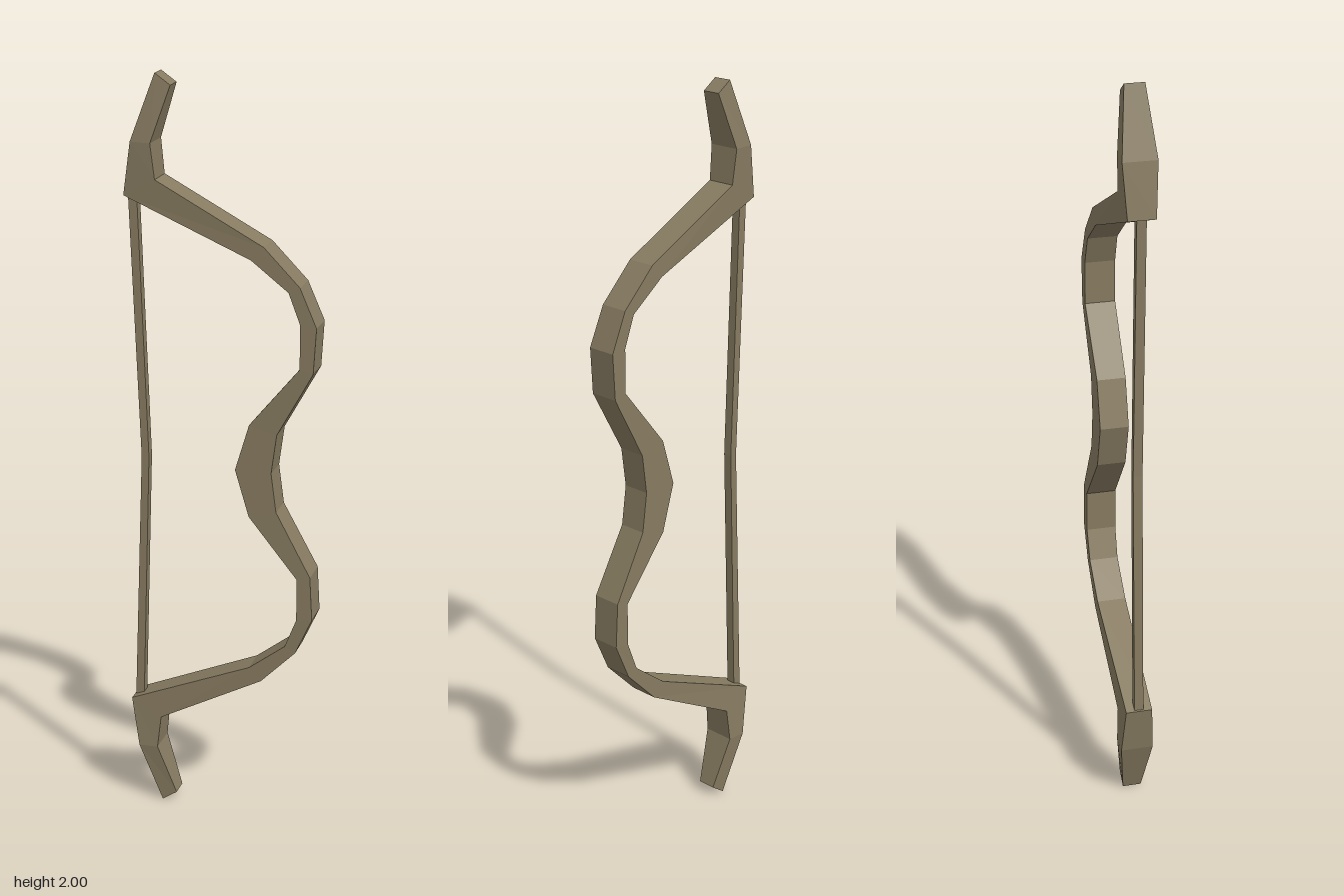
import * as THREE from 'three';

// Sweeps a four-cornered section along rows of [xBack, yBack, xFront, yFront, halfDepthBack, halfDepthFront]
function sweep(rows) {
  const rings = rows.map(([xb, yb, xf, yf, db, df]) => [
    [xb, yb, db], [xf, yf, df], [xf, yf, -df], [xb, yb, -db],
  ]);
  const pos = [];
  const quad = (a, b, c, d) => pos.push(...a, ...b, ...c, ...a, ...c, ...d);
  for (let i = 0; i < rings.length - 1; i++) {
    const p = rings[i], q = rings[i + 1];
    for (let k = 0; k < 4; k++) {
      const n = (k + 1) % 4;
      quad(p[k], q[k], q[n], p[n]);
    }
  }
  const [a, b, c, d] = rings[0];
  quad(a, b, c, d);
  const [e, f, g, h] = rings[rings.length - 1];
  quad(h, g, f, e);
  const geo = new THREE.BufferGeometry();
  geo.setAttribute('position', new THREE.Float32BufferAttribute(pos, 3));
  geo.computeVertexNormals();
  return geo;
}

// Adds the lower half by mirroring the upper rows about y = 1 (last row is the middle)
function mirrorRows(upper) {
  const lower = upper.slice(0, -1).reverse()
    .map(([xb, yb, xf, yf, db, df]) => [xb, 2 - yb, xf, 2 - yf, db, df]);
  return [...upper, ...lower];
}

export function createModel() {
  const group = new THREE.Group();
  group.name = 'bow';
  const wood = new THREE.MeshStandardMaterial({ color: 0x877b61, flatShading: true });
  wood.name = 'weathered wood';

  // Bow stave: tip, nock, elbow, curved limb, grip
  const stave = new THREE.Mesh(sweep(mirrorRows([
    [-0.17, 2.0, -0.13, 1.972, 0.025, 0.025],
    [-0.23, 1.832, -0.178, 1.83, 0.043, 0.043],
    [-0.252, 1.695, -0.168, 1.74, 0.035, 0.039],
    [0.08, 1.555, 0.113, 1.59, 0.039, 0.039],
    [0.177, 1.48, 0.206, 1.495, 0.039, 0.039],
    [0.208, 1.4, 0.25, 1.395, 0.04, 0.04],
    [0.208, 1.285, 0.243, 1.275, 0.04, 0.04],
    [0.077, 1.125, 0.15, 1.105, 0.038, 0.038],
    [0.04, 1.0, 0.136, 1.0, 0.038, 0.038],
  ])), wood);
  stave.name = 'stave';
  group.add(stave);

  // Bowstring, drawn slightly inward at the middle
  const string = new THREE.Mesh(sweep(mirrorRows([
    [-0.248, 1.695, -0.225, 1.695, 0.012, 0.012],
    [-0.222, 1.0, -0.202, 1.0, 0.012, 0.012],
  ])), wood);
  string.name = 'bowstring';
  group.add(string);

  return group;
}
